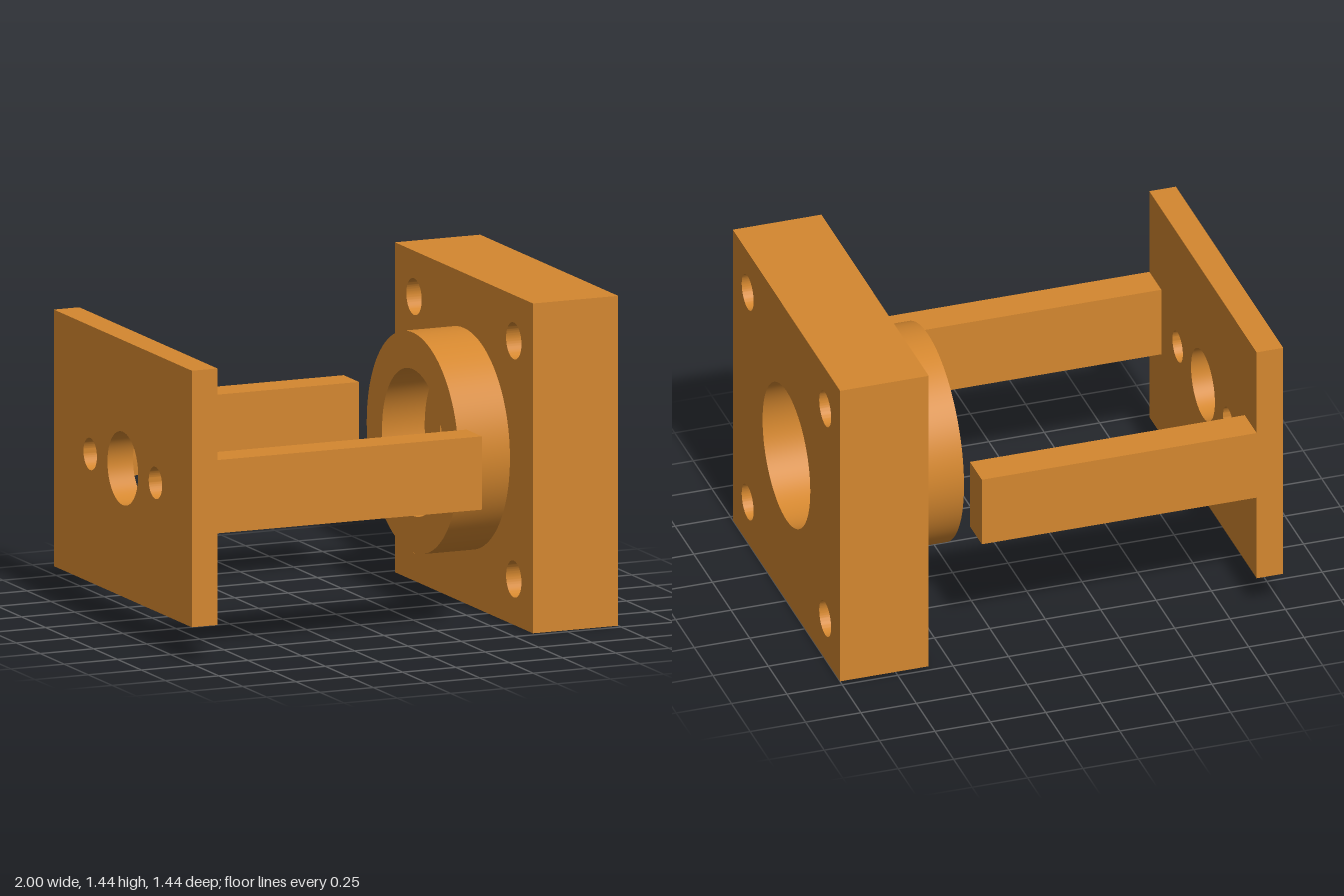
import * as THREE from 'three';
import { toCreasedNormals } from 'three/addons/utils/BufferGeometryUtils.js';

const AXIS_Y = 0.72; // height of the shaft axis

// Plate standing across x, with round holes given as [z, y, radius] about its centre
function drilledPlate(height, thickness, holes) {
  const w = 0.72, h = height / 2;
  const shape = new THREE.Shape([
    new THREE.Vector2(-w, -h), new THREE.Vector2(w, -h),
    new THREE.Vector2(w, h), new THREE.Vector2(-w, h),
  ]);
  for (const [z, y, r] of holes) {
    shape.holes.push(new THREE.Path().absarc(-z, y, r, 0, Math.PI * 2, true));
  }
  const geometry = new THREE.ExtrudeGeometry(shape, {
    depth: thickness, bevelEnabled: false, curveSegments: 48,
  });
  geometry.rotateY(Math.PI / 2);
  return toCreasedNormals(geometry, 0.5);
}

export function createModel() {
  const model = new THREE.Group();
  model.name = 'bearingMount';
  const orange = new THREE.MeshStandardMaterial({ color: 0xd4872f });
  orange.name = 'orange';

  const add = (name, geometry, x, y, z) => {
    const mesh = new THREE.Mesh(geometry, orange);
    mesh.name = name;
    mesh.position.set(x, y, z);
    model.add(mesh);
  };

  // Thick block with the bearing bore and four corner bolt holes
  const corners = [];
  for (const z of [-0.52, 0.52]) for (const y of [-0.52, 0.52]) corners.push([z, y, 0.08]);
  add('bearingBlock', drilledPlate(1.44, 0.4, [[0, 0, 0.32], ...corners]), 0.6, AXIS_Y, 0);

  // Raised boss with its own bearing seat, and the web between the two seats
  const profile = [
    [0.32, 0.8], [0.16, 0.8], [0.16, 0.56], [0.32, 0.56],
    [0.32, 0.36], [0.48, 0.36], [0.48, 0.6],
  ].map(([r, x]) => new THREE.Vector2(r, x));
  const boss = new THREE.LatheGeometry(profile, 96);
  boss.rotateZ(-Math.PI / 2);
  add('bearingBoss', toCreasedNormals(boss.toNonIndexed(), 0.5), 0, AXIS_Y, 0);

  // Thin motor plate with the shaft hole and two screw holes
  const motorHoles = [[0, 0, 0.16], [-0.34, 0, 0.07], [0.34, 0, 0.07]];
  add('motorPlate', drilledPlate(1.12, 0.12, motorHoles), -1, AXIS_Y, 0);

  // Side arms
  for (const side of [1, -1]) {
    add(side > 0 ? 'frontArm' : 'backArm',
      new THREE.BoxGeometry(1.24, 0.32, 0.16), -0.26, AXIS_Y, side * 0.64);
  }

  return model;
}
